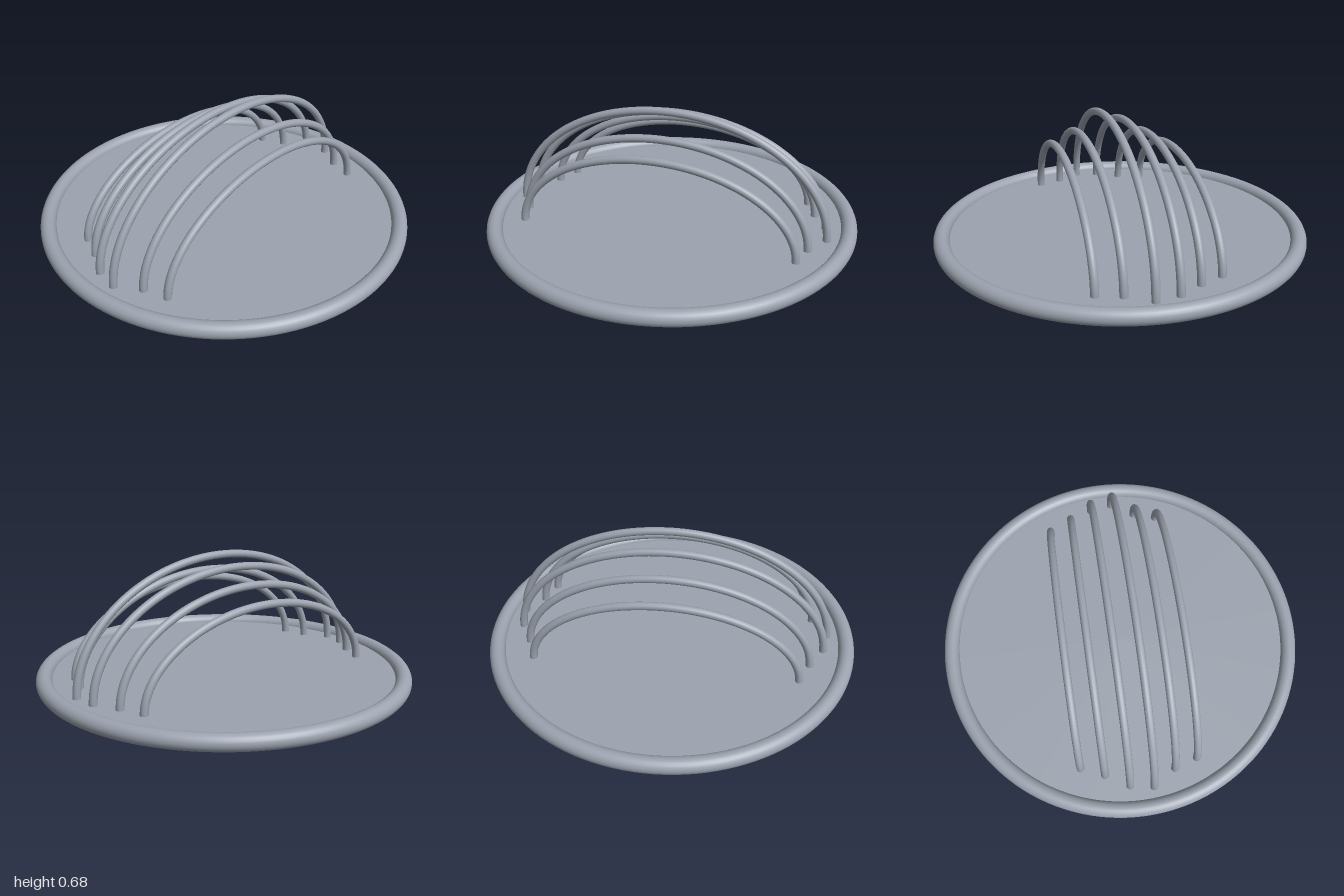
import * as THREE from 'three';

// Half-ellipse standing in the XY plane, ends pointing straight down
class ArchCurve extends THREE.Curve {
  constructor(halfWidth, height) {
    super();
    this.halfWidth = halfWidth;
    this.height = height;
  }
  getPoint(t, target = new THREE.Vector3()) {
    const a = Math.PI * (1 - t);
    return target.set(this.halfWidth * Math.cos(a), this.height * Math.sin(a), 0);
  }
}

export function createModel() {
  const group = new THREE.Group();
  const metal = new THREE.MeshStandardMaterial({ color: 0x9ca3af });
  metal.name = 'greyMetal';

  const add = (name, geometry, x, y, z) => {
    const mesh = new THREE.Mesh(geometry, metal);
    mesh.name = name;
    mesh.position.set(x, y, z);
    group.add(mesh);
    return mesh;
  };

  const rimTube = 0.0425;

  // Round rim and the thin plate set at its mid height
  const rimGeometry = new THREE.TorusGeometry(1 - rimTube, rimTube, 24, 128).rotateX(Math.PI / 2);
  add('rim', rimGeometry, 0, rimTube, 0);
  add('basePlate', new THREE.CylinderGeometry(0.93, 0.93, 0.01, 128), 0, rimTube, 0);

  // Row of wire arches: [z, outer half width, top height]
  const wire = 0.021;
  const arches = [
    [0.315, 0.755, 0.512],
    [0.189, 0.795, 0.577],
    [0.063, 0.875, 0.68],
    [-0.063, 0.853, 0.632],
    [-0.189, 0.779, 0.555],
    [-0.315, 0.725, 0.48],
  ];
  arches.forEach(([z, halfWidth, top], i) => {
    const curve = new ArchCurve(halfWidth - wire, top - wire - rimTube);
    add(`arch${i + 1}`, new THREE.TubeGeometry(curve, 80, wire, 16), 0, rimTube, z);
  });

  return group;
}
